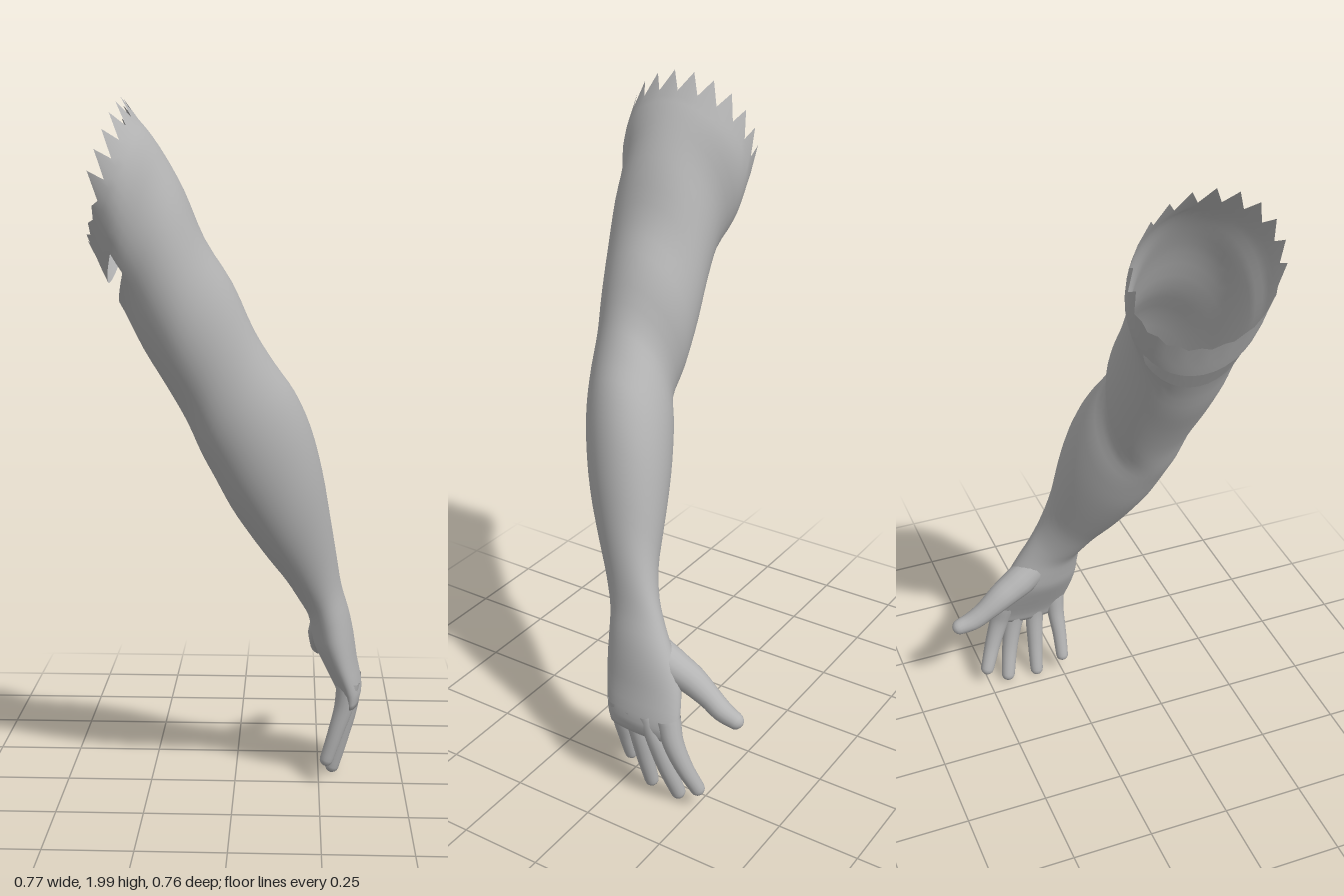
import * as THREE from 'three';

// Skin a list of closed rings; optional end point closes the tip, skip(i, j) leaves holes
function loft(rings, tip, skip = () => false) {
  const n = rings[0].length, pos = [], idx = [];
  rings.forEach(r => r.forEach(p => pos.push(p.x, p.y, p.z)));
  for (let i = 0; i < rings.length - 1; i++) {
    for (let j = 0; j < n; j++) {
      if (skip(i, j)) continue;
      const k = (j + 1) % n;
      const a = i * n + j, b = i * n + k, c = a + n, d = b + n;
      idx.push(a, b, c, b, d, c);
    }
  }
  if (tip) {
    const last = (rings.length - 1) * n, t = rings.length * n;
    pos.push(tip.x, tip.y, tip.z);
    for (let j = 0; j < n; j++) idx.push(last + j, last + (j + 1) % n, t);
  }
  const g = new THREE.BufferGeometry();
  g.setAttribute('position', new THREE.Float32BufferAttribute(pos, 3));
  g.setIndex(idx);
  g.computeVertexNormals();
  return g;
}

// Tapered finger along a smooth path of [x, y, z, radius], with a rounded end
function digit(points) {
  const curve = new THREE.CatmullRomCurve3(points.map(p => new THREE.Vector3(p[0], p[1], p[2])));
  const steps = 20, n = 16, rings = [];
  const { normals, binormals, tangents } = curve.computeFrenetFrames(steps);
  const ring = (c, r, f) => Array.from({ length: n }, (_, j) => {
    const a = (j / n) * Math.PI * 2;
    return c.clone().addScaledVector(normals[f], Math.cos(a) * r).addScaledVector(binormals[f], Math.sin(a) * r);
  });
  for (let i = 0; i <= steps; i++) {
    const s = (i / steps) * (points.length - 1), k = Math.min(Math.floor(s), points.length - 2);
    rings.push(ring(curve.getPoint(i / steps), THREE.MathUtils.lerp(points[k][3], points[k + 1][3], s - k), i));
  }
  const end = curve.getPoint(1), r = points[points.length - 1][3];
  for (const a of [0.4, 0.8, 1.2]) {
    rings.push(ring(end.clone().addScaledVector(tangents[steps], Math.sin(a) * r), Math.cos(a) * r, steps));
  }
  return loft(rings, end.clone().addScaledVector(tangents[steps], r));
}

export function createModel() {
  const model = new THREE.Group();
  model.name = 'arm';
  const skin = new THREE.MeshStandardMaterial({ color: 0xb4b4b4, side: THREE.DoubleSide });
  skin.name = 'grey skin';
  const add = (name, geometry) => {
    const m = new THREE.Mesh(geometry, skin);
    m.name = name;
    model.add(m);
  };

  // Tilted sections: outer x, y, inner x, y, back z, front z
  const sections = [
    [-0.26, 1.945, -0.38, 1.6, -0.03, 0.38],
    [-0.225, 1.905, -0.335, 1.5, -0.02, 0.375],
    [-0.18, 1.84, -0.29, 1.42, 0.015, 0.348],
    [-0.13, 1.75, -0.24, 1.32, 0.022, 0.342],
    [-0.075, 1.62, -0.18, 1.22, 0.018, 0.33],
    [0, 1.5, -0.125, 1.12, 0.02, 0.305],
    [0.06, 1.37, -0.085, 1.03, 0.04, 0.285],
    [0.115, 1.28, -0.05, 0.96, 0.01, 0.275],
    [0.17, 1.2, -0.005, 0.87, -0.015, 0.255],
    [0.215, 1.1, 0.045, 0.79, -0.033, 0.225],
    [0.25, 0.97, 0.1, 0.71, -0.045, 0.185],
    [0.275, 0.83, 0.15, 0.64, -0.055, 0.135],
    [0.295, 0.71, 0.19, 0.57, -0.08, 0.09],
    [0.312, 0.61, 0.215, 0.52, -0.115, 0.065],
    [0.335, 0.53, 0.225, 0.47, -0.15, 0.058],
    [0.35, 0.46, 0.235, 0.42, -0.18, 0.056],
    [0.362, 0.38, 0.262, 0.36, -0.2, 0.048],
    [0.378, 0.29, 0.302, 0.275, -0.21, 0.03],
    [0.37, 0.245, 0.315, 0.235, -0.205, 0.02],
  ];
  const outer = new THREE.CatmullRomCurve3(sections.map(s => new THREE.Vector3(s[0], s[1], s[4])));
  const inner = new THREE.CatmullRomCurve3(sections.map(s => new THREE.Vector3(s[2], s[3], s[5])));
  const n = 40, sub = 3, rows = (sections.length - 1) * sub, rings = [];
  for (let i = 0; i <= rows; i++) {
    const A = outer.getPoint(i / rows), B = inner.getPoint(i / rows);
    rings.push(Array.from({ length: n }, (_, j) => {
      const a = (j / n) * Math.PI * 2, c = Math.cos(a) / 2, s = Math.sin(a) / 2;
      const p = new THREE.Vector3(
        (A.x + B.x) / 2 + (A.x - B.x) * c,
        (A.y + B.y) / 2 + (A.y - B.y) * c,
        (A.z + B.z) / 2 + (B.z - A.z) * s);
      // Torn teeth around the open shoulder
      if (i === 0 && j % 2) {
        const t = c > -0.1 ? 1 : 0.25;
        p.x -= 0.035 * t;
        p.y += 0.05 * t;
      }
      return p;
    }));
  }
  // Tear on the underside just below the rim
  const tear = (i, j) => i >= 3 && i < 5 && Math.abs(j + 0.5 - n / 2) < 6;
  add('armAndPalm', loft(rings, new THREE.Vector3(0.34, 0.225, -0.095), tear));

  // Digits: x, y, z, radius
  const digits = {
    thumb: [[0.275, 0.5, -0.07, 0.045], [0.27, 0.45, -0.14, 0.05], [0.26, 0.41, -0.21, 0.043],
      [0.256, 0.37, -0.265, 0.034], [0.258, 0.34, -0.31, 0.031], [0.26, 0.327, -0.352, 0.025]],
    indexFinger: [[0.335, 0.31, -0.175, 0.036], [0.342, 0.24, -0.195, 0.031], [0.33, 0.155, -0.225, 0.026], [0.305, 0.075, -0.255, 0.022]],
    middleFinger: [[0.342, 0.31, -0.115, 0.036], [0.345, 0.235, -0.14, 0.031], [0.33, 0.13, -0.165, 0.026], [0.3, 0.03, -0.185, 0.022]],
    ringFinger: [[0.34, 0.31, -0.06, 0.036], [0.337, 0.235, -0.073, 0.03], [0.318, 0.13, -0.08, 0.025], [0.292, 0.028, -0.086, 0.021]],
    littleFinger: [[0.335, 0.32, -0.005, 0.034], [0.322, 0.24, -0.004, 0.028], [0.298, 0.16, 0, 0.023], [0.273, 0.08, 0, 0.02]],
  };
  for (const [name, points] of Object.entries(digits)) add(name, digit(points));
  return model;
}
